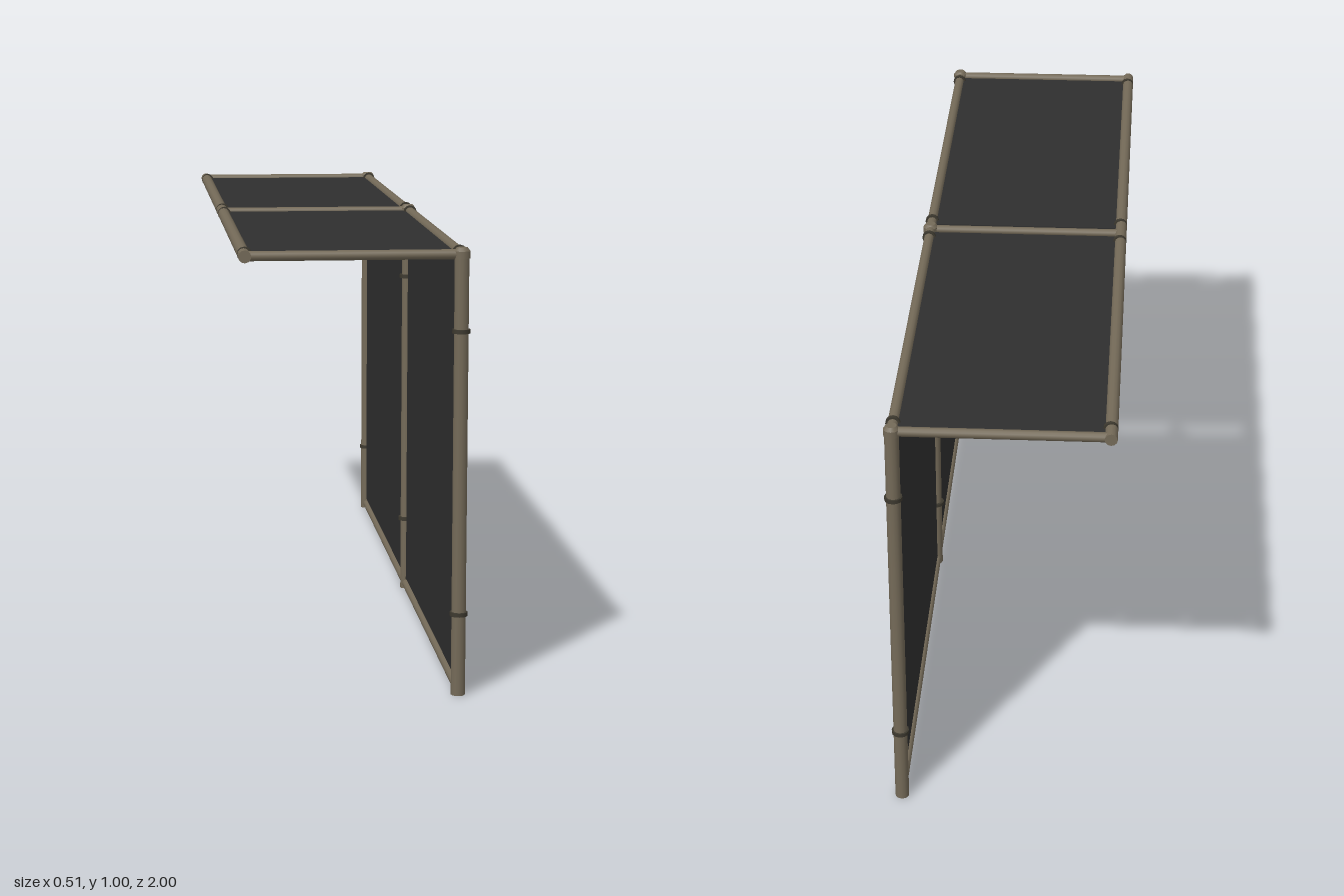
import * as THREE from 'three';

export function createModel() {
  const model = new THREE.Group();
  const pipeMat = new THREE.MeshStandardMaterial({ color: 0x746a58 });
  pipeMat.name = 'weathered pipe';
  const clothMat = new THREE.MeshStandardMaterial({ color: 0x2f2f2f });
  clothMat.name = 'dark cloth';
  const clipMat = new THREE.MeshStandardMaterial({ color: 0x3d392f });
  clipMat.name = 'dark clip';

  const UP = new THREE.Vector3(0, 1, 0);
  const wallX = 0.231, edgeX = -0.24, roofY = 0.985, baseY = 0.013, endZ = 0.981;

  const add = (name, geometry, material, x, y, z) => {
    const mesh = new THREE.Mesh(geometry, material);
    mesh.name = name;
    mesh.position.set(x, y, z);
    model.add(mesh);
    return mesh;
  };

  // Straight round bar between two points
  const bar = (name, a, b, radius, material = pipeMat, sides = 12) => {
    const from = new THREE.Vector3(...a), to = new THREE.Vector3(...b);
    const dir = to.clone().sub(from);
    const mid = from.add(to).multiplyScalar(0.5);
    const mesh = add(name, new THREE.CylinderGeometry(radius, radius, dir.length(), sides), material, mid.x, mid.y, mid.z);
    mesh.quaternion.setFromUnitVectors(UP, dir.normalize());
  };

  // Thin collar around a bar running along y or z
  const clip = (x, y, z, axis, radius) => {
    const ring = add('clip', new THREE.CylinderGeometry(radius, radius, 0.009, 12), clipMat, x, y, z);
    if (axis === 'z') ring.rotation.x = Math.PI / 2;
  };

  // Posts with rounded caps, and the roof ribs behind them
  for (const z of [-endZ, 0.004, endZ]) {
    const r = z === 0.004 ? 0.014 : 0.016;
    bar('post', [wallX, 0, z], [wallX, 0.992, z], r);
    add('postCap', new THREE.CylinderGeometry(0.012, 0.018, 0.008, 12), pipeMat, wallX, 0.996, z);
    add('postCollar', new THREE.CylinderGeometry(0.018, 0.018, 0.016, 12), pipeMat, wallX, 0.984, z);
    bar('roofRib', [edgeX, roofY, z], [wallX, roofY, z], z === 0.004 ? 0.01 : 0.011);
    for (const y of [0.185, 0.817]) clip(wallX, y, z, 'y', 0.02);
  }

  // Long rails
  bar('roofFrontRail', [edgeX, roofY, -0.993], [edgeX, roofY, 0.993], 0.014);
  bar('roofWallRail', [wallX, roofY, -endZ], [wallX, roofY, endZ], 0.012);
  bar('bottomRail', [wallX, baseY, -endZ], [wallX, baseY, endZ], 0.01);
  for (const x of [edgeX + 0.002, wallX])
    for (const z of [-0.945, -0.042, 0.05, 0.945]) clip(x, roofY, z, 'z', 0.0165);

  // Cloth panels with slim diagonal stays across the wall bays
  for (const [z0, z1] of [[-0.965, -0.018], [0.028, 0.962]]) {
    const mid = (z0 + z1) / 2, len = z1 - z0;
    add('wallPanel', new THREE.BoxGeometry(0.004, 0.942, len), clothMat, wallX, 0.5, mid);
    add('roofPanel', new THREE.BoxGeometry(0.45, 0.004, len), clothMat, -0.003, roofY, mid);
    const outer = mid < 0 ? -endZ : endZ;
    bar('diagonalStay', [wallX, roofY, outer], [wallX, baseY, 0.004], 0.0022, clipMat, 6);
  }
  return model;
}
